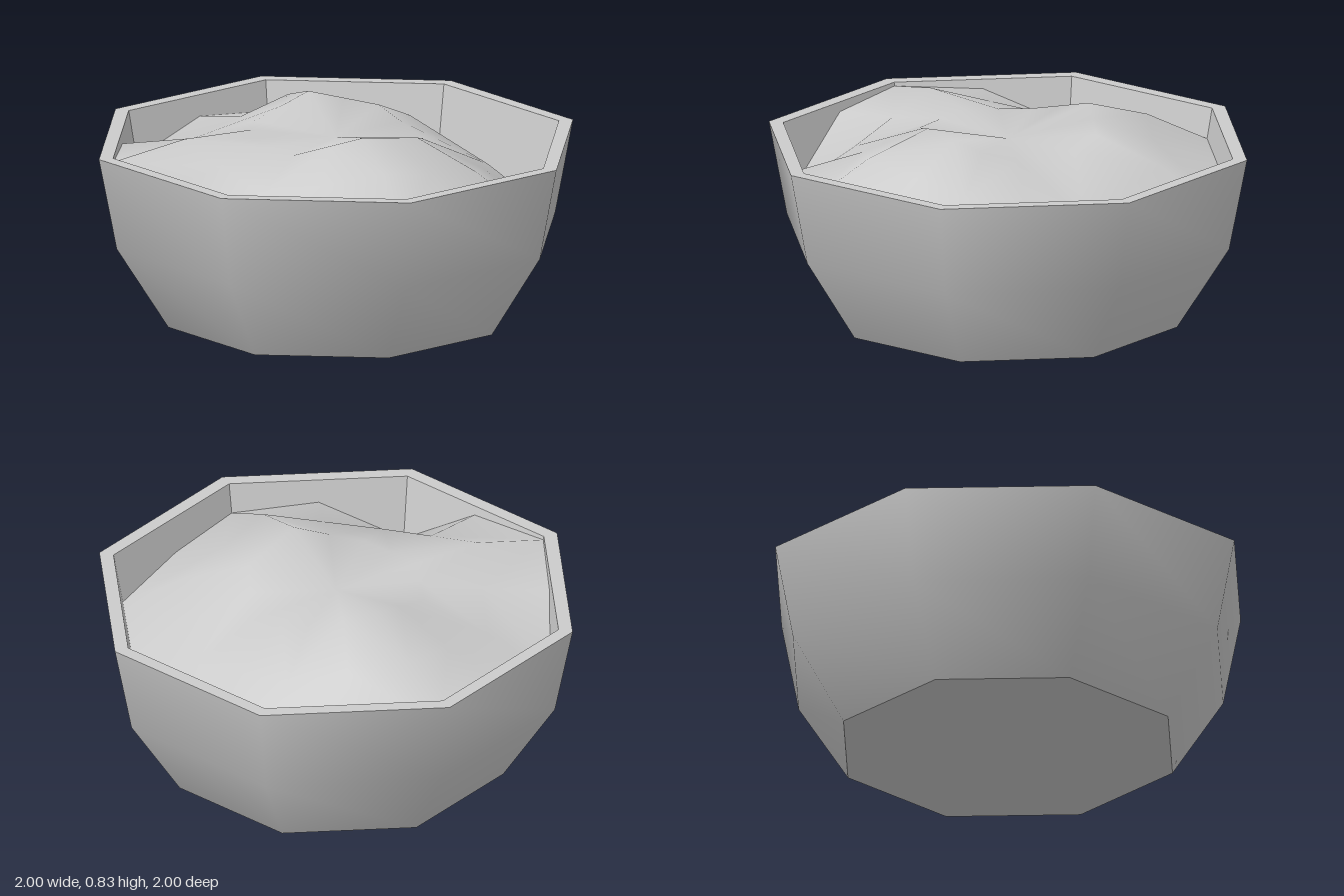
import * as THREE from 'three';

const SIDES = 8;
const RIM_Y = 0.725;

// Lathe a short [radius, y] profile into an eight-sided band
function band(name, profile, flatShading = false) {
  const points = profile.map(([r, y]) => new THREE.Vector2(r, y));
  const material = new THREE.MeshStandardMaterial({ color: 0xcccccc, flatShading });
  const mesh = new THREE.Mesh(new THREE.LatheGeometry(points, SIDES), material);
  mesh.name = name;
  return mesh;
}

// Heights of the filling, stepping from +x towards +z in 45 degree steps
const INNER = [0.78, 0.83, 0.75, 0.76, 0.755, 0.83, 0.78, 0.70];
const MIDDLE = [0.67, 0.745, 0.65, 0.78, 0.65, 0.745, 0.67, 0.57];
// Heights where the filling meets the wall, at corners and side middles
const WALL = [0.51, 0.58, 0.60, 0.63, 0.46, 0.687, 0.71, 0.687,
  0.53, 0.64, 0.60, 0.60, 0.52, 0.445, 0.37, 0.445];

// Lumpy filling: centre point plus three octagonal rings with side midpoints
function filling() {
  const n = SIDES * 2;
  const positions = [0, 0.735, 0];
  const index = [];
  const heightAt = (ring, i) =>
    (ring[Math.floor(i / 2)] + ring[Math.ceil(i / 2) % SIDES]) / 2;
  for (let ring = 0; ring < 3; ring++) {
    for (let i = 0; i < n; i++) {
      const y = ring === 2 ? WALL[i] : heightAt(ring ? MIDDLE : INNER, i);
      let r = [0.37, 0.64, 0.94 - 0.18 * (RIM_Y - y)][ring];
      if (i % 2) r *= Math.cos(Math.PI / SIDES);
      const a = (i / n) * Math.PI * 2;
      positions.push(r * Math.cos(a), y, r * Math.sin(a));
    }
  }
  for (let i = 0; i < n; i++) {
    const j = (i + 1) % n;
    index.push(0, 1 + j, 1 + i);
    for (let ring = 0; ring < 2; ring++) {
      const a = 1 + ring * n + i, b = 1 + ring * n + j;
      // Alternate the diagonal so the radial ridges stay symmetric
      if (i % 2) index.push(a, b, b + n, a, b + n, a + n);
      else index.push(a, b, a + n, b, b + n, a + n);
    }
  }
  const geometry = new THREE.BufferGeometry();
  geometry.setAttribute('position', new THREE.Float32BufferAttribute(positions, 3));
  geometry.setIndex(index);
  geometry.computeVertexNormals();
  const mesh = new THREE.Mesh(geometry, new THREE.MeshStandardMaterial({ color: 0xcccccc }));
  mesh.name = 'filling';
  return mesh;
}

export function createModel() {
  const model = new THREE.Group();
  model.name = 'filledBowl';
  model.add(
    band('bowlBase', [[0, 0], [0.707, 0]]),
    band('bowlOutside', [[0.707, 0], [0.925, 0.345], [1, RIM_Y]]),
    band('bowlRim', [[1, RIM_Y], [0.94, RIM_Y]]),
    band('bowlInside', [[0.94, RIM_Y], [0.87, 0.345], [0.66, 0.05], [0, 0.05]], true),
    filling(),
  );
  return model;
}
